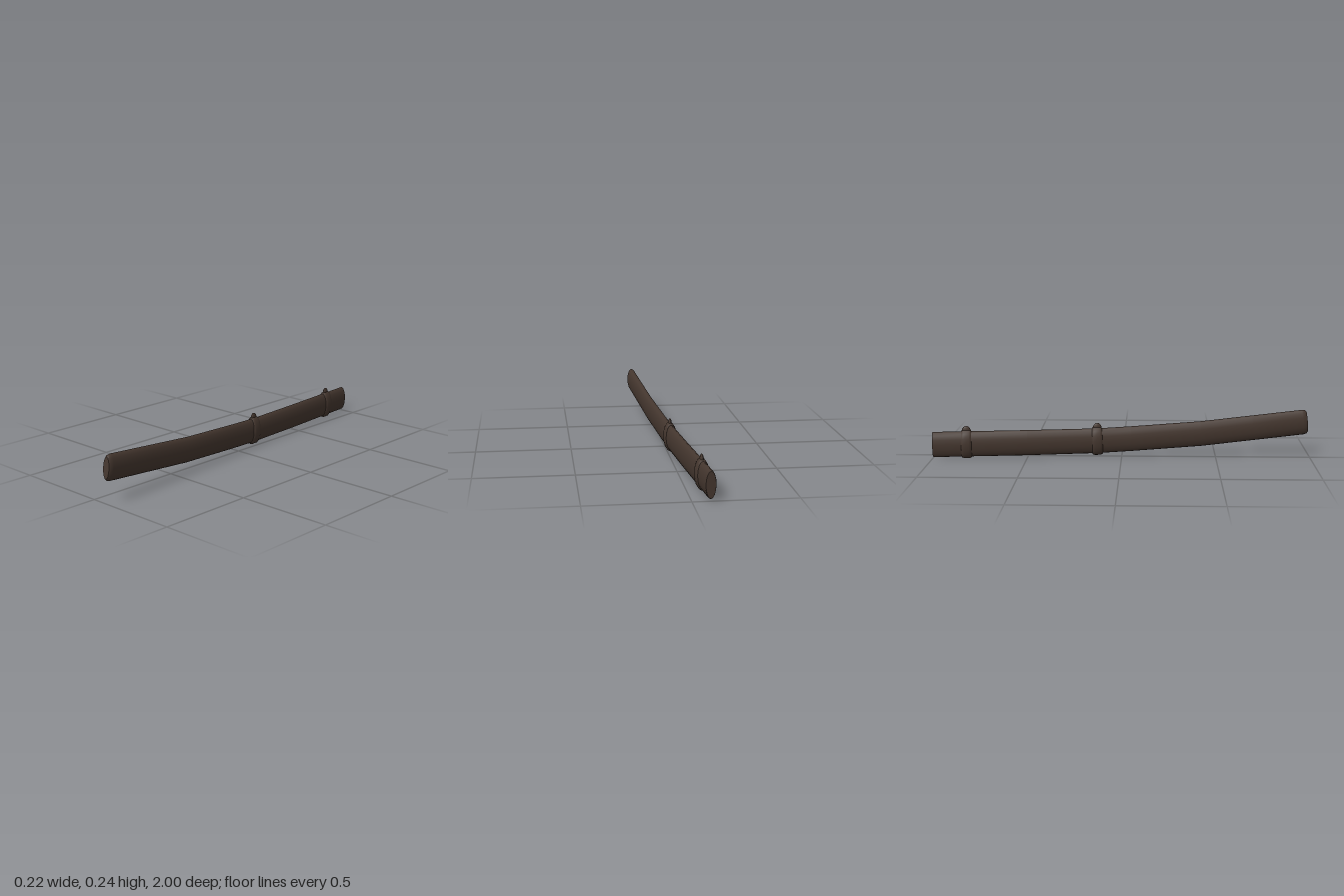
import * as THREE from 'three';

const SIDES = 16;
const leather = new THREE.MeshStandardMaterial({ color: 0x45372f });
leather.name = 'dark brown leather';

// centre line of the sheath: [z, y]; x follows z in a straight line
const LINE = [[-1, 0.082], [-0.5, 0.086], [-0.13, 0.092], [0, 0.098], [0.42, 0.124], [0.994, 0.183]];

function centre(z) {
  let i = 0;
  while (i < LINE.length - 2 && z > LINE[i + 1][0]) i++;
  const [z0, y0] = LINE[i], [z1, y1] = LINE[i + 1];
  const slope = (y1 - y0) / (z1 - z0);
  return { x: 0.0875 * z, y: y0 + slope * (z - z0), slope };
}

// oval section standing square to the centre line
function section(z, rx, ry) {
  const c = centre(z), points = [];
  const tilt = Math.atan(c.slope);
  for (let j = 0; j < SIDES; j++) {
    const a = (j / SIDES) * Math.PI * 2;
    const u = rx * Math.cos(a), v = ry * Math.sin(a);
    points.push([c.x + u, c.y + v * Math.cos(tilt), z - v * Math.sin(tilt) - u * 0.0875]);
  }
  return points;
}

// skin through sections [z, rx, ry], with flat end caps
function loft(sections) {
  const pos = [], index = [];
  const rings = sections.map(s => section(...s));
  rings.forEach(r => r.forEach(p => pos.push(...p)));
  for (let i = 0; i < rings.length - 1; i++) {
    for (let j = 0; j < SIDES; j++) {
      const a = i * SIDES + j, b = i * SIDES + (j + 1) % SIDES;
      index.push(a, b, a + SIDES, b, b + SIDES, a + SIDES);
    }
  }
  [rings[0], rings[rings.length - 1]].forEach((ring, end) => {
    const base = pos.length / 3;
    ring.forEach(p => pos.push(...p));
    for (let j = 1; j < SIDES - 1; j++) {
      if (end) index.push(base, base + j, base + j + 1);
      else index.push(base, base + j + 1, base + j);
    }
  });
  const g = new THREE.BufferGeometry();
  g.setAttribute('position', new THREE.Float32BufferAttribute(pos, 3));
  g.setIndex(index);
  g.computeVertexNormals();
  return g;
}

function part(name, geometry) {
  const mesh = new THREE.Mesh(geometry, leather);
  mesh.name = name;
  return mesh;
}

// raised collar with a rounded hanging lug on top
function collar(name, z) {
  const group = new THREE.Group();
  group.name = name;
  const rx = 0.026, ry = 0.068;
  group.add(part('collarBand', loft([
    [z - 0.027, rx, ry],
    [z - 0.025, rx + 0.004, ry + 0.005],
    [z - 0.014, rx + 0.007, ry + 0.009],
    [z + 0.014, rx + 0.007, ry + 0.009],
    [z + 0.025, rx + 0.004, ry + 0.005],
    [z + 0.027, rx, ry],
  ])));
  const c = centre(z);
  const lug = part('hangingLug', new THREE.SphereGeometry(1, 12, 10));
  lug.scale.set(0.009, 0.03, 0.024);
  lug.position.set(c.x, c.y + 0.067, z);
  lug.rotation.y = 0.087;
  group.add(lug);
  return group;
}

export function createModel() {
  const model = new THREE.Group();
  model.name = 'curvedSheath';
  // long curved body with a rounded tip at the front
  model.add(part('sheathBody', loft([
    [-0.998, 0.024, 0.065],
    [-0.993, 0.026, 0.068],
    [-0.5, 0.026, 0.068],
    [-0.13, 0.026, 0.067],
    [0.05, 0.026, 0.067],
    [0.42, 0.026, 0.067],
    [0.7, 0.026, 0.067],
    [0.968, 0.026, 0.067],
    [0.984, 0.024, 0.064],
    [0.993, 0.019, 0.055],
  ])));
  model.add(collar('middleCollar', -0.13));
  model.add(collar('rearCollar', -0.82));
  return model;
}
